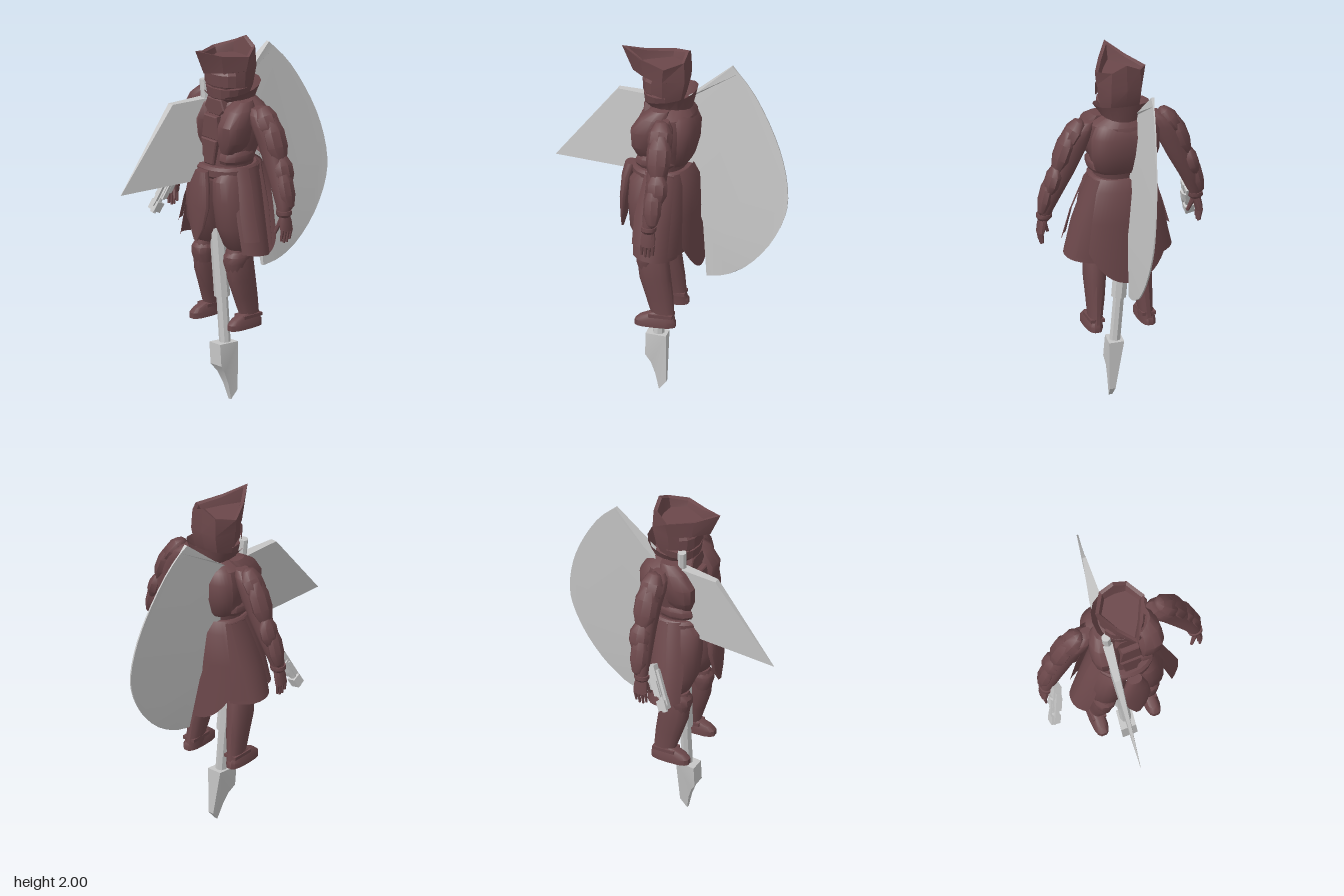
import * as THREE from 'three';
import { toCreasedNormals } from 'three/addons/utils/BufferGeometryUtils.js';

const armour = new THREE.MeshStandardMaterial({ color: 0x6b474a, side: THREE.DoubleSide });
armour.name = 'dark maroon armour';
const steel = new THREE.MeshStandardMaterial({ color: 0xc6c6c6, side: THREE.DoubleSide });
steel.name = 'pale steel';

const RAD = Math.PI / 180;
const V = (x, y, z) => new THREE.Vector3(x, y, z);

function part(parent, name, geo, mat = armour, crease = 0.6) {
  const m = new THREE.Mesh(crease ? toCreasedNormals(geo, crease) : geo, mat);
  m.name = name;
  parent.add(m);
  return m;
}

// Skin a stack of point rings, bottom to top
function skin(rows, closed = true) {
  const pos = [], n = rows[0].length, span = closed ? n : n - 1;
  const tri = (a, b, c) => pos.push(...a.toArray(), ...b.toArray(), ...c.toArray());
  for (let i = 0; i < rows.length - 1; i++)
    for (let j = 0; j < span; j++) {
      const k = (j + 1) % n, lo = rows[i], hi = rows[i + 1];
      tri(lo[j], hi[j], lo[k]);
      tri(lo[k], hi[j], hi[k]);
    }
  if (closed) {
    const mid = r => r.reduce((s, p) => s.add(p), V(0, 0, 0)).divideScalar(n);
    const lo = rows[0], hi = rows[rows.length - 1], cl = mid(lo), ch = mid(hi);
    for (let j = 0; j < n; j++) {
      const k = (j + 1) % n;
      tri(cl, lo[j], lo[k]);
      tri(ch, hi[k], hi[j]);
    }
  }
  const g = new THREE.BufferGeometry();
  g.setAttribute('position', new THREE.Float32BufferAttribute(pos, 3));
  return g;
}

// Rows are [y, cx, cz, rx, rz, tilt]; an angle range gives an open plate (90 degrees is the front)
function loft(rows, n = 16, a0 = 0, a1 = 360, pw = 0.9) {
  const closed = a1 - a0 === 360, bend = v => Math.sign(v) * Math.abs(v) ** pw;
  return skin(rows.map(([y, cx, cz, rx, rz, tilt = 0]) =>
    Array.from({ length: closed ? n : n + 1 }, (_, j) => {
      const a = (a0 + (a1 - a0) * j / n) * RAD, s = Math.sin(a);
      return V(cx + rx * bend(Math.cos(a)), y + tilt * s, cz + rz * bend(s));
    })), closed);
}

// Straight prism between two points
function strut(parent, name, a, b, r1, r2, sides, mat) {
  const m = part(parent, name, new THREE.CylinderGeometry(r2, r1, a.distanceTo(b), sides), mat, 0.4);
  m.position.copy(a).lerp(b, 0.5);
  m.quaternion.setFromUnitVectors(V(0, 1, 0), b.clone().sub(a).normalize());
}

function block(parent, name, w, h, d, x, y, z, mat = armour) {
  part(parent, name, new THREE.BoxGeometry(w, h, d), mat, 0).position.set(x, y, z);
}

function plate(parent, name, pts, depth, z) {
  const g = new THREE.ExtrudeGeometry(new THREE.Shape(pts.map(p => new THREE.Vector2(...p))),
    { depth, bevelEnabled: true, bevelSize: 0.006, bevelThickness: 0.006, bevelSegments: 1 });
  part(parent, name, g, armour, 0.4).position.z = z;
}

function buildSide(sign) {
  const s = new THREE.Group();
  s.name = sign > 0 ? 'leftSide' : 'rightSide';
  s.scale.x = sign;

  // Leg
  part(s, 'thigh', loft([[0.85, 0.115, 0.04, 0.055, 0.055], [0.89, 0.117, 0.055, 0.08, 0.08], [1.0, 0.115, 0.075, 0.098, 0.11],
    [1.15, 0.105, 0.085, 0.1, 0.115], [1.26, 0.09, 0.08, 0.085, 0.115], [1.31, 0.08, 0.06, 0.07, 0.1]], 20, 0, 360, 1));
  part(s, 'boot', loft([[0.44, 0.145, -0.005, 0.038, 0.065], [0.5, 0.142, 0.002, 0.036, 0.062], [0.6, 0.135, 0.022, 0.046, 0.075],
    [0.7, 0.13, 0.045, 0.055, 0.085], [0.82, 0.125, 0.06, 0.058, 0.085], [0.87, 0.12, 0.06, 0.05, 0.07]], 14, 0, 360, 0.85));
  part(s, 'kneeGuard', loft([[0.75, 0.125, 0.085, 0.05, 0.05], [0.8, 0.125, 0.085, 0.06, 0.066], [0.835, 0.125, 0.07, 0.064, 0.08],
    [0.86, 0.125, 0.065, 0.052, 0.065]], 12));
  part(s, 'foot', loft([[0.43, 0.15, 0.04, 0.042, 0.112], [0.46, 0.15, 0.04, 0.042, 0.112], [0.485, 0.148, 0.035, 0.034, 0.09],
    [0.51, 0.145, 0.01, 0.03, 0.05]], 14, 0, 360, 0.7));
  block(s, 'ankleBand', 0.078, 0.018, 0.13, 0.145, 0.492, 0.008);

  // Skirt plates
  part(s, 'sideTasset', loft([[0.865, 0, 0.045, 0.3, 0.15, 0.02], [1.05, 0, 0.045, 0.255, 0.155], [1.2, 0, 0.03, 0.205, 0.15],
    [1.32, 0, 0.02, 0.165, 0.14]], 10, -58, 38));
  part(s, 'outerTasset', loft([[0.95, 0, 0.055, 0.305, 0.15], [1.1, 0, 0.05, 0.262, 0.15], [1.24, 0, 0.03, 0.212, 0.14],
    [1.33, 0, 0.02, 0.172, 0.13]], 6, 5, 34));
  part(s, 'rearTasset', loft([[0.9, 0, 0.02, 0.3, 0.145, 0.03], [1.1, 0, 0.01, 0.255, 0.145], [1.33, 0, 0, 0.18, 0.13]], 8, -78, -28));
  part(s, 'cape', loft([[1.255, 0, 0, 0.28, 0.185, 0.5], [1.1, 0, 0, 0.255, 0.178], [1.28, 0, -0.005, 0.22, 0.162], [1.34, 0, -0.01, 0.18, 0.12]],
    8, -90, -40));

  // Chest and back plates
  part(s, 'breastPlate', loft([[1.41, 0.1, 0.08, 0.045, 0.07], [1.48, 0.12, 0.09, 0.075, 0.085], [1.57, 0.128, 0.085, 0.078, 0.095],
    [1.65, 0.125, 0.05, 0.07, 0.08], [1.69, 0.115, 0.02, 0.045, 0.05]], 12, 0, 360, 0.75));
  part(s, 'ribPlate', loft([[1.35, 0.095, 0.05, 0.065, 0.1], [1.37, 0.1, 0.05, 0.072, 0.11], [1.4, 0.1, 0.05, 0.072, 0.105],
    [1.42, 0.1, 0.05, 0.06, 0.09]], 10));
  part(s, 'backPlate', loft([[1.37, 0, 0, 0.15, 0.12], [1.4, 0, 0, 0.175, 0.14], [1.49, 0, 0, 0.2, 0.165], [1.59, 0, 0, 0.2, 0.17],
    [1.65, 0, 0, 0.17, 0.14], [1.69, 0, 0, 0.11, 0.09]], 8, -90, -20, 0.6));

  // Arm
  part(s, 'arm', loft([[1.13, 0.425, 0.01, 0.034, 0.032], [1.17, 0.42, 0.005, 0.042, 0.04], [1.27, 0.385, -0.005, 0.057, 0.05],
    [1.38, 0.335, -0.012, 0.068, 0.053], [1.5, 0.285, -0.015, 0.077, 0.06], [1.58, 0.25, -0.01, 0.075, 0.066],
    [1.63, 0.22, -0.01, 0.06, 0.06], [1.66, 0.19, -0.01, 0.035, 0.035]], 14));
  const guard = (name, x, y, z, w, h, d, tilt) => {
    const m = part(s, name, new THREE.SphereGeometry(1, 8, 5), armour, 0.7);
    m.scale.set(w, h, d);
    m.position.set(x, y, z);
    m.rotation.z = tilt;
  };
  guard('shoulderGuard', 0.275, 1.595, -0.015, 0.055, 0.1, 0.068, 0.55);
  guard('upperArmGuard', 0.328, 1.51, -0.02, 0.05, 0.14, 0.07, 0.35);
  guard('elbowGuard', 0.39, 1.35, -0.025, 0.042, 0.09, 0.062, 0.3);
  guard('forearmGuard', 0.425, 1.26, -0.01, 0.036, 0.12, 0.052, 0.25);
  part(s, 'cuff', loft([[1.11, 0.428, 0.01, 0.03, 0.032], [1.125, 0.427, 0.01, 0.042, 0.042], [1.145, 0.425, 0.01, 0.042, 0.042]], 12));

  // Hand
  part(s, 'palm', loft([[1.035, 0.448, 0.01, 0.018, 0.04], [1.08, 0.44, 0.01, 0.022, 0.04], [1.13, 0.428, 0.01, 0.025, 0.03]], 10));
  for (let i = 0; i < 4; i++) {
    const z = -0.02 + i * 0.02, tip = 0.965 + 0.012 * Math.abs(i - 1.5);
    strut(s, 'finger', V(0.442, tip, z + 0.005), V(0.45, 1.045, z), 0.007, 0.011, 6, armour);
  }
  strut(s, 'thumb', V(0.395, 1.02, 0.045), V(0.425, 1.1, 0.025), 0.009, 0.015, 6, armour);
  return s;
}

function buildHelmet() {
  const h = new THREE.Group();
  h.name = 'helmet';
  // Half outlines from back to front, mirrored into full rings
  const ring = half => {
    const pts = half.map(p => V(...p));
    return [...pts, ...pts.slice(1, -1).reverse().map(p => V(-p.x, p.y, p.z))];
  };
  const level = (y, b, bx, bz, sx, fx, fz, f) => ring([[0, y, b], [bx, y, bz], [sx, y, 0.01], [fx, y, fz], [0, y, f]]);
  const rim = ring([[0, 2, -0.11], [0.08, 1.96, -0.1], [0.143, 1.935, 0], [0.075, 1.95, 0.14], [0, 1.99, 0.26]]);
  const inset = (k, fy) => rim.map(p => V(p.x * k, fy(p.y), 0.02 + (p.z - 0.02) * k));
  part(h, 'helmetShell', skin([
    level(1.66, -0.06, 0.065, -0.05, 0.095, 0.065, 0.08, 0.1),
    level(1.75, -0.095, 0.08, -0.085, 0.118, 0.075, 0.11, 0.13),
    level(1.85, -0.12, 0.085, -0.105, 0.126, 0.075, 0.115, 0.135),
    level(1.852, -0.12, 0.085, -0.105, 0.13, 0.075, 0.125, 0.2),
    rim, inset(0.86, y => y - 0.008), inset(0.76, () => 1.9)]), armour, 0.3);
  part(h, 'visor', loft([[1.765, 0, 0.03, 0.118, 0.105], [1.77, 0, 0.03, 0.122, 0.108], [1.835, 0, 0.03, 0.124, 0.112],
    [1.85, 0, 0.03, 0.115, 0.1]], 6, 20, 160), armour, 0.3);
  part(h, 'chinGuard', loft([[1.68, 0, 0.02, 0.09, 0.09], [1.7, 0, 0.02, 0.11, 0.11], [1.755, 0, 0.02, 0.122, 0.116],
    [1.76, 0, 0.02, 0.1, 0.1]], 8, -10, 190), armour, 0.3);
  return h;
}

function buildAxe() {
  const axe = new THREE.Group();
  axe.name = 'greatAxe';
  // The whole weapon leans in one slanted plane
  const lean = (y, z) => 0.045 - 0.085 * y - 0.14 * z;
  const at = (y, z) => V(lean(y, z), y, z);
  const slab = (name, outline, thick) => {
    const g = new THREE.ExtrudeGeometry(new THREE.Shape(outline.map(p => new THREE.Vector2(...p))), { depth: 1, bevelEnabled: false });
    const p = g.attributes.position;
    for (let i = 0; i < p.count; i++) {
      const z = p.getX(i), y = p.getY(i);
      p.setXYZ(i, lean(y, z) - (p.getZ(i) - 0.5) * thick(z, y), y, z);
    }
    part(axe, name, g, steel, 0.35);
  };
  const edge = new THREE.SplineCurve([[-0.33, 1.9], [-0.45, 1.77], [-0.56, 1.58], [-0.63, 1.4], [-0.66, 1.22], [-0.64, 1.08],
    [-0.56, 0.92], [-0.44, 0.785], [-0.32, 0.715], [-0.21, 0.69]].map(p => new THREE.Vector2(...p)));
  slab('frontBlade', [[0.05, 1.235], [0.66, 1.23], [0.31, 1.67], [0.05, 1.67]], z => 0.065 * (1 - z / 0.68));
  slab('rearBlade', [[-0.03, 1.3], [-0.03, 1.65], [-0.14, 1.73], ...edge.getPoints(24).map(p => [p.x, p.y]), [-0.19, 1.0], [-0.12, 1.2]],
    z => (z > -0.2 ? 0.07 : z > -0.34 ? 0.02 : 0.008));
  slab('spike', [[0.005, 0.32], [0.005, 0.05], [0.045, 0], [0.065, 0.09], [0.09, 0.155], [0.12, 0.2], [0.12, 0.32]],
    (z, y) => (y > 0.19 ? 0.085 : 0.02 + y * 0.25));
  strut(axe, 'lowerShaft', at(0.3, 0.055), at(0.6, 0.055), 0.031, 0.031, 8, steel);
  strut(axe, 'grip', at(0.57, 0.055), at(0.95, 0.06), 0.043, 0.043, 8, steel);
  strut(axe, 'upperShaft', at(0.95, 0.06), at(1.77, 0.09), 0.028, 0.024, 8, steel);
  return axe;
}

function buildPistol() {
  const gun = new THREE.Group();
  gun.name = 'pistol';
  gun.position.set(-0.415, 1.075, 0.1);
  gun.quaternion.setFromUnitVectors(V(0, -1, 0), V(-0.06, -0.24, 0.11).normalize());
  block(gun, 'frame', 0.045, 0.17, 0.045, 0, 0.045, 0, steel);
  block(gun, 'handle', 0.03, 0.045, 0.07, 0.005, 0.105, -0.03, steel);
  block(gun, 'topRail', 0.022, 0.2, 0.015, 0, 0, 0.03, steel);
  block(gun, 'muzzle', 0.052, 0.055, 0.05, 0, -0.095, 0.005, steel);
  block(gun, 'sideRail', 0.065, 0.09, 0.018, 0, 0, 0.01, steel);
  strut(gun, 'barrel', V(0, -0.135, 0.005), V(0, 0, 0.005), 0.016, 0.018, 8, steel);
  strut(gun, 'drum', V(0, 0.0, -0.008), V(0, 0.06, -0.008), 0.035, 0.035, 10, steel);
  return gun;
}

export function createModel() {
  const model = new THREE.Group();
  model.name = 'armouredKnight';

  // Torso
  part(model, 'torso', loft([[1.24, 0, 0.03, 0.14, 0.12], [1.36, 0, 0.025, 0.145, 0.125], [1.45, 0, 0.005, 0.17, 0.14],
    [1.56, 0, -0.01, 0.195, 0.15], [1.65, 0, -0.02, 0.18, 0.13], [1.7, 0, -0.01, 0.1, 0.1]], 20));
  part(model, 'belt', loft([[1.265, 0, 0.03, 0.155, 0.15], [1.28, 0, 0.03, 0.168, 0.165], [1.315, 0, 0.03, 0.168, 0.165],
    [1.33, 0, 0.03, 0.155, 0.15]], 24));
  part(model, 'neck', loft([[1.64, 0, 0, 0.09, 0.08], [1.75, 0, 0.01, 0.08, 0.08]], 12));
  part(model, 'collar', loft([[1.645, 0, -0.015, 0.1, 0.11], [1.69, 0, -0.015, 0.115, 0.12, -0.01], [1.745, 0, -0.01, 0.15, 0.145, -0.035]],
    14, 120, 420), armour, 0.4);
  plate(model, 'sternumPlate', [[-0.07, 1.64], [-0.04, 1.61], [0.04, 1.61], [0.07, 1.64], [0.05, 1.69], [-0.05, 1.69]], 0.035, 0.085);
  plate(model, 'chestTrim', [[-0.06, 1.48], [0.06, 1.48], [0.045, 1.6], [-0.045, 1.6]], 0.04, 0.11);
  plate(model, 'bellyPlate', [[-0.03, 1.34], [0.03, 1.34], [0.055, 1.47], [-0.055, 1.47]], 0.04, 0.12);

  // Front tasset
  part(model, 'frontTasset', loft([[0.93, 0, 0.255, 0.015, 0.006], [1.0, 0, 0.246, 0.052, 0.017], [1.12, 0, 0.237, 0.08, 0.028],
    [1.24, 0, 0.225, 0.067, 0.032], [1.31, 0, 0.21, 0.04, 0.03]], 14));

  model.add(buildSide(1), buildSide(-1), buildHelmet(), buildAxe(), buildPistol());
  return model;
}
